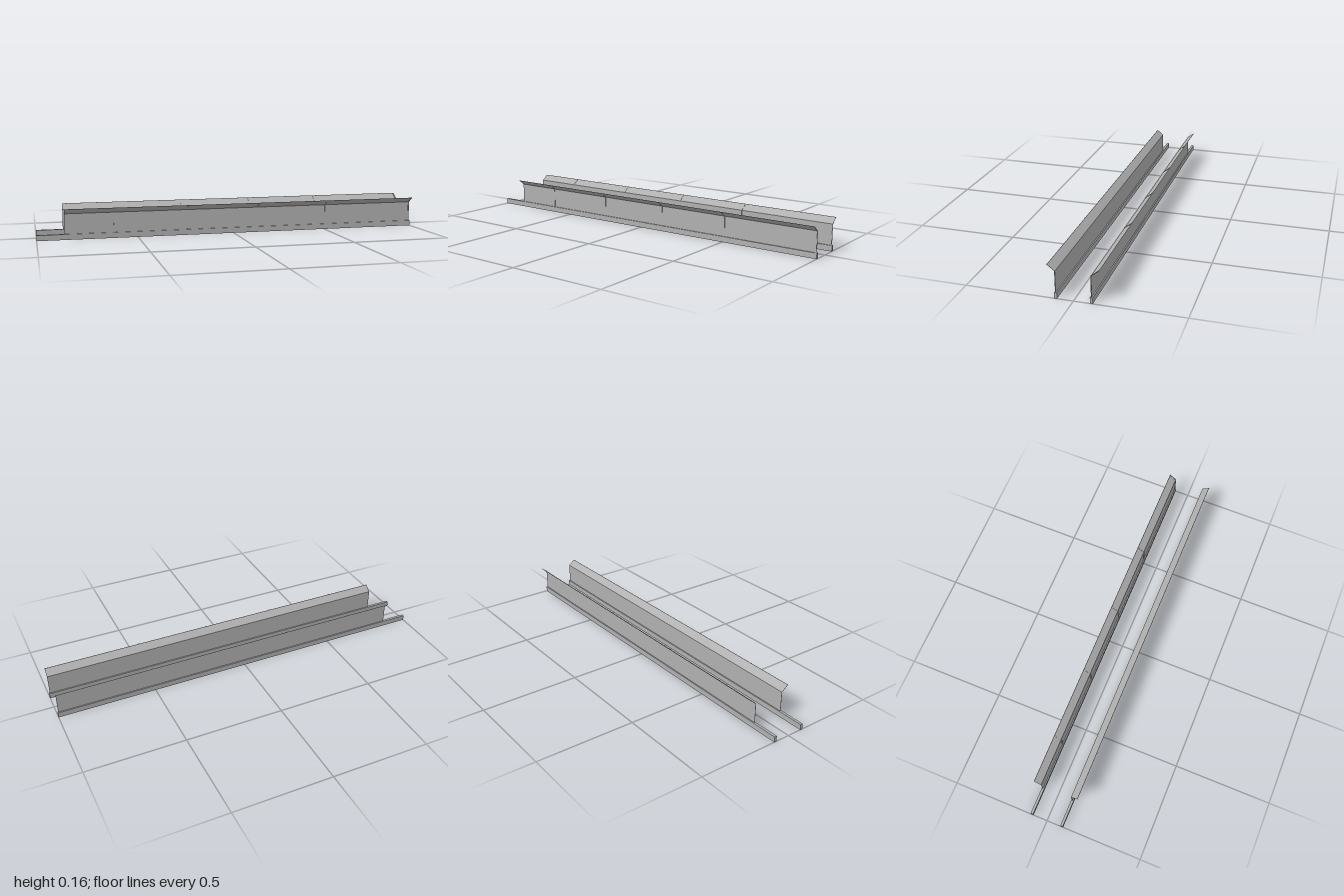
import * as THREE from 'three';

export function createModel() {
  const model = new THREE.Group();
  const grey = new THREE.MeshStandardMaterial({ color: 0xb0b0b0 });
  grey.name = 'galvanised grey';

  const RAIL_H = 0.028, BEND_Y = 0.13, TIP_Y = 0.157, SPLAY = 0.035;
  const SHEET = 0.0012, POST = 0.0022, POST_W = 0.006;

  // Bent strip: upright leg and outward flange, swept along x between x0 and x1
  function bentStrip(name, z, out, y0, thick, x0, x1) {
    const line = [[z, y0], [z, BEND_Y], [z + out * SPLAY, TIP_Y]];
    const outline = [
      ...line,
      ...line.map(([pz, py]) => [pz + thick, py]).reverse(),
    ].map(([pz, py]) => new THREE.Vector2(-pz, py));
    const geo = new THREE.ExtrudeGeometry(new THREE.Shape(outline), {
      depth: x1 - x0, bevelEnabled: false,
    });
    geo.rotateY(Math.PI / 2);
    geo.translate(x0, 0, 0);
    const mesh = new THREE.Mesh(geo, grey);
    mesh.name = name;
    return mesh;
  }

  for (const side of [1, -1]) {
    const barrier = new THREE.Group();
    barrier.name = side > 0 ? 'frontBarrier' : 'rearBarrier';
    const z = side * 0.0805;

    // Base rail, running past the right end of the sheet
    const rail = new THREE.Mesh(new THREE.BoxGeometry(2, RAIL_H, 0.013), grey);
    rail.name = 'baseRail';
    rail.position.set(0, RAIL_H / 2, z);
    barrier.add(rail);

    // Thin sheet with splayed top
    barrier.add(bentStrip('sidePanel', z - SHEET / 2, side, RAIL_H, SHEET, -0.865, 0.997));

    // Narrow ribs on the front face of each sheet
    for (const x of [-0.618, -0.243, 0.132, 0.507, 0.993]) {
      barrier.add(bentStrip('rib', z + SHEET / 2, side, RAIL_H, POST, x - POST_W / 2, x + POST_W / 2));
    }
    model.add(barrier);
  }
  return model;
}
